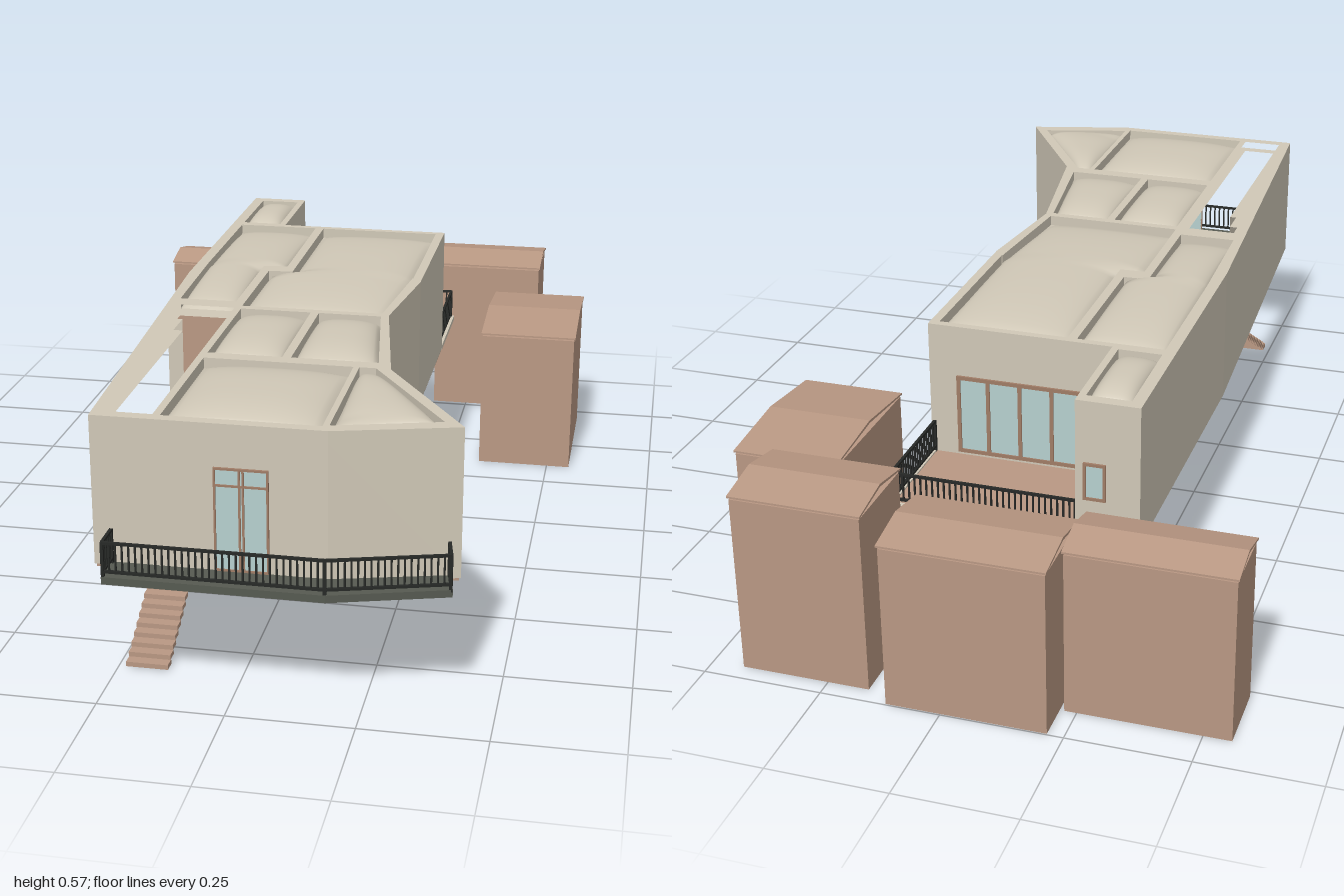
import * as THREE from 'three';

const mat = (name, color, side = THREE.FrontSide) => {
  const m = new THREE.MeshStandardMaterial({ color, side });
  m.name = name;
  return m;
};

export function createModel() {
  const model = new THREE.Group();
  model.name = 'house';
  const plaster = mat('plaster', 0xd0c8b7);
  const shell = mat('roof shell', 0xd0c8b7, THREE.DoubleSide);
  const brick = mat('brick', 0xb99883);
  const iron = mat('iron', 0x262826);
  const slate = mat('slate', 0x565a51);
  const glass = mat('glass', 0xb6d0cf);
  const timber = mat('timber', 0xa07c66);

  const add = (name, geo, material, parent = model) => {
    const m = new THREE.Mesh(geo, material);
    m.name = name;
    parent.add(m);
    return m;
  };
  const box = (name, x0, x1, y0, y1, z0, z1, material, parent) => {
    const m = add(name, new THREE.BoxGeometry(x1 - x0, y1 - y0, z1 - z0), material, parent);
    m.position.set((x0 + x1) / 2, (y0 + y1) / 2, (z0 + z1) / 2);
    return m;
  };
  // Upright prism from a plan outline of [x, z] points
  const plan = (pts) => pts.map(([x, z]) => new THREE.Vector2(x, -z));
  const prism = (name, pts, y0, y1, material, holes = []) => {
    const s = new THREE.Shape(plan(pts));
    holes.forEach((h) => s.holes.push(new THREE.Path(plan(h))));
    const g = new THREE.ExtrudeGeometry(s, { depth: y1 - y0, bevelEnabled: false });
    g.rotateX(-Math.PI / 2).translate(0, y0, 0);
    return add(name, g, material);
  };

  // House walls, bent in plan, with an open stair well
  const side = [[0.22, -0.02], [0.188, 0.24], [0.245, 0.58], [0.424, 0.865],
    [0.185, 0.93], [-0.263, 0.93], [-0.312, 0.0], [-0.312, -0.7]];
  const outline = [...side, [-0.18, -0.7], [-0.18, -0.447], [0.22, -0.447]];
  const well = [[-0.27, 0.245], [-0.148, 0.245], [-0.148, 0.905], [-0.238, 0.905], [-0.238, 0.345], [-0.27, 0.345]];
  prism('walls', outline, 0.26, 0.535, plaster, [well]);

  // Roof panels as rows of [z, left x, right x]
  const panels = [
    [[-0.675, -0.287, -0.195], [-0.455, -0.287, -0.195]],
    [[-0.43, -0.287, -0.1], [-0.086, -0.287, -0.1], [-0.084, -0.287, -0.155], [0.2, -0.28, -0.155]],
    [[-0.43, -0.08, 0.2], [-0.046, -0.08, 0.2], [-0.044, -0.135, 0.198], [0.228, -0.135, 0.172]],
    [[0.248, -0.133, 0.02], [0.545, -0.133, 0.02]],
    [[0.248, 0.038, 0.172], [0.545, 0.038, 0.215]],
    [[0.578, -0.133, 0.17], [0.907, -0.133, 0.17]],
    [[0.578, 0.182, 0.215], [0.845, 0.182, 0.385], [0.9, 0.182, 0.187]],
  ];
  const ring = (rows) => [...rows.map(([z, l]) => [l, z]), ...[...rows].reverse().map(([z, , r]) => [r, z])];
  prism('roofFrame', outline, 0.535, 0.56, plaster, [well, ...panels.map(ring)]);

  // Pillow-shaped shell filling each panel
  const edgesAt = (rows, z) => {
    let i = 0;
    while (i < rows.length - 2 && z > rows[i + 1][0]) i++;
    const [a, b] = [rows[i], rows[i + 1]];
    const t = (z - a[0]) / (b[0] - a[0]);
    return [a[1] + (b[1] - a[1]) * t, a[2] + (b[2] - a[2]) * t];
  };
  panels.forEach((rows) => {
    const n = 28;
    const g = new THREE.PlaneGeometry(1, 1, n, n).rotateX(-Math.PI / 2);
    const p = g.attributes.position;
    const z0 = rows[0][0], z1 = rows[rows.length - 1][0];
    const bulge = (t) => 1 - Math.pow(Math.abs(2 * t - 1), 2.6);
    for (let i = 0; i < p.count; i++) {
      const u = p.getX(i) + 0.5, v = p.getZ(i) + 0.5;
      const z = z0 + (z1 - z0) * v;
      const [l, r] = edgesAt(rows, z);
      p.setXYZ(i, l + (r - l) * u, 0.537 + 0.032 * Math.sqrt(bulge(u) * bulge(v)), z);
    }
    g.computeVertexNormals();
    add('roofShell', g, shell);
  });

  // Floor plate, terrace and stair landing
  const base = [...side, [0.22, -0.7]].map(([x, z]) => [x * 0.99, z * 0.995]);
  prism('floor', base, 0.253, 0.2605, brick, [well]);
  prism('landing', [[-0.27, 0.245], [-0.148, 0.245], [-0.148, 0.385], [-0.238, 0.385], [-0.238, 0.345], [-0.27, 0.345]],
    0.252, 0.262, brick);
  box('terraceFloor', -0.18, 0.21, 0.26, 0.264, -0.69, -0.447, brick);
  box('terraceCurbBack', -0.18, 0.22, 0.256, 0.267, -0.7, -0.688, plaster);
  box('terraceCurbSide', 0.21, 0.22, 0.256, 0.267, -0.7, -0.447, plaster);

  // Open stair down to the ground
  const steps = 22;
  for (let i = 0; i < steps; i++) {
    const y = 0.25 - i * (0.243 / (steps - 1)), z = 0.415 + i * (0.42 / (steps - 1));
    box('stairTread', -0.235, -0.15, y - 0.006, y + 0.004, z - 0.013, z + 0.013, brick);
  }

  // Balcony slab along the angled front
  prism('balcony', [[-0.23, 0.93], [0.185, 0.93], [0.405, 0.871], [0.417, 0.932], [0.192, 0.999], [-0.23, 0.999]],
    0.252, 0.267, slate);

  // Railing following a plan path
  const railing = (name, pts) => {
    const g = new THREE.Group();
    g.name = name;
    model.add(g);
    for (let k = 0; k < pts.length - 1; k++) {
      const [x0, z0] = pts[k], [x1, z1] = pts[k + 1];
      const len = Math.hypot(x1 - x0, z1 - z0);
      for (const y of [0.277, 0.335]) {
        const rail = add('rail', new THREE.BoxGeometry(len, 0.005, 0.006), iron, g);
        rail.position.set((x0 + x1) / 2, y, (z0 + z1) / 2);
        rail.rotation.y = -Math.atan2(z1 - z0, x1 - x0);
      }
      const n = Math.round(len / 0.0125);
      for (let i = 0; i <= n; i++) {
        const x = x0 + (x1 - x0) * i / n, z = z0 + (z1 - z0) * i / n;
        const end = i === 0 || i === n, w = end ? 0.003 : 0.0017;
        box('baluster', x - w, x + w, end ? 0.262 : 0.277, 0.336, z - w, z + w, iron, g);
      }
    }
  };
  railing('balconyRailing', [[-0.227, 0.935], [-0.227, 0.995], [0.191, 0.995], [0.413, 0.93], [0.403, 0.875]]);
  railing('terraceRailing', [[-0.178, -0.692], [0.212, -0.692], [0.212, -0.45]]);

  // Framed glazing: upright bars at xs, cross bars at ys
  const glazing = (name, xs, ys, z, dir, w) => {
    const g = new THREE.Group();
    g.name = name;
    model.add(g);
    const [xa, xb, ya, yb] = [xs[0], xs[xs.length - 1], ys[0], ys[ys.length - 1]];
    const span = (d) => [Math.min(z, z + d * dir), Math.max(z, z + d * dir)];
    box('pane', xa, xb, ya, yb, ...span(0.002), glass, g);
    xs.forEach((x) => box('upright', x - w, x + w, ya - w, yb + w, ...span(0.005), timber, g));
    ys.forEach((y) => box('crossbar', xa, xb, y - w, y + w, ...span(0.005), timber, g));
  };
  glazing('frontDoor', [-0.027, 0.02, 0.027, 0.073], [0.27, 0.44, 0.473], 0.93, 1, 0.002);
  glazing('terraceDoors', [-0.12, -0.05, 0.02, 0.09, 0.155], [0.275, 0.445], -0.447, -1, 0.004);
  glazing('smallWindow', [-0.24, -0.2], [0.35, 0.425], -0.7, -1, 0.003);

  // Brick outbuildings with thin gabled roofs: [x0, x1, z0, z1, wall height]
  [[-0.56, -0.222, -0.92, -0.762, 0.348], [-0.219, 0.116, -1, -0.795, 0.348],
    [0.16, 0.436, -0.965, -0.762, 0.382], [0.328, 0.557, -0.703, -0.35, 0.33]].forEach(([x0, x1, z0, z1, h]) => {
    box('outbuilding', x0 + 0.003, x1 - 0.003, 0, h, z0 + 0.003, z1 - 0.003, brick);
    const half = (z1 - z0) / 2, e = h + 0.004, r = h + 0.024, t = 0.004;
    const s = new THREE.Shape([[-half, e], [0, r - t], [half, e], [half, e + t], [0, r + t / 2], [-half, e + t]]
      .map(([a, b]) => new THREE.Vector2(a, b)));
    const g = new THREE.ExtrudeGeometry(s, { depth: x1 - x0, bevelEnabled: false });
    g.rotateY(Math.PI / 2).translate(x0, 0, (z0 + z1) / 2);
    add('outbuildingRoof', g, brick);
  });

  return model;
}
